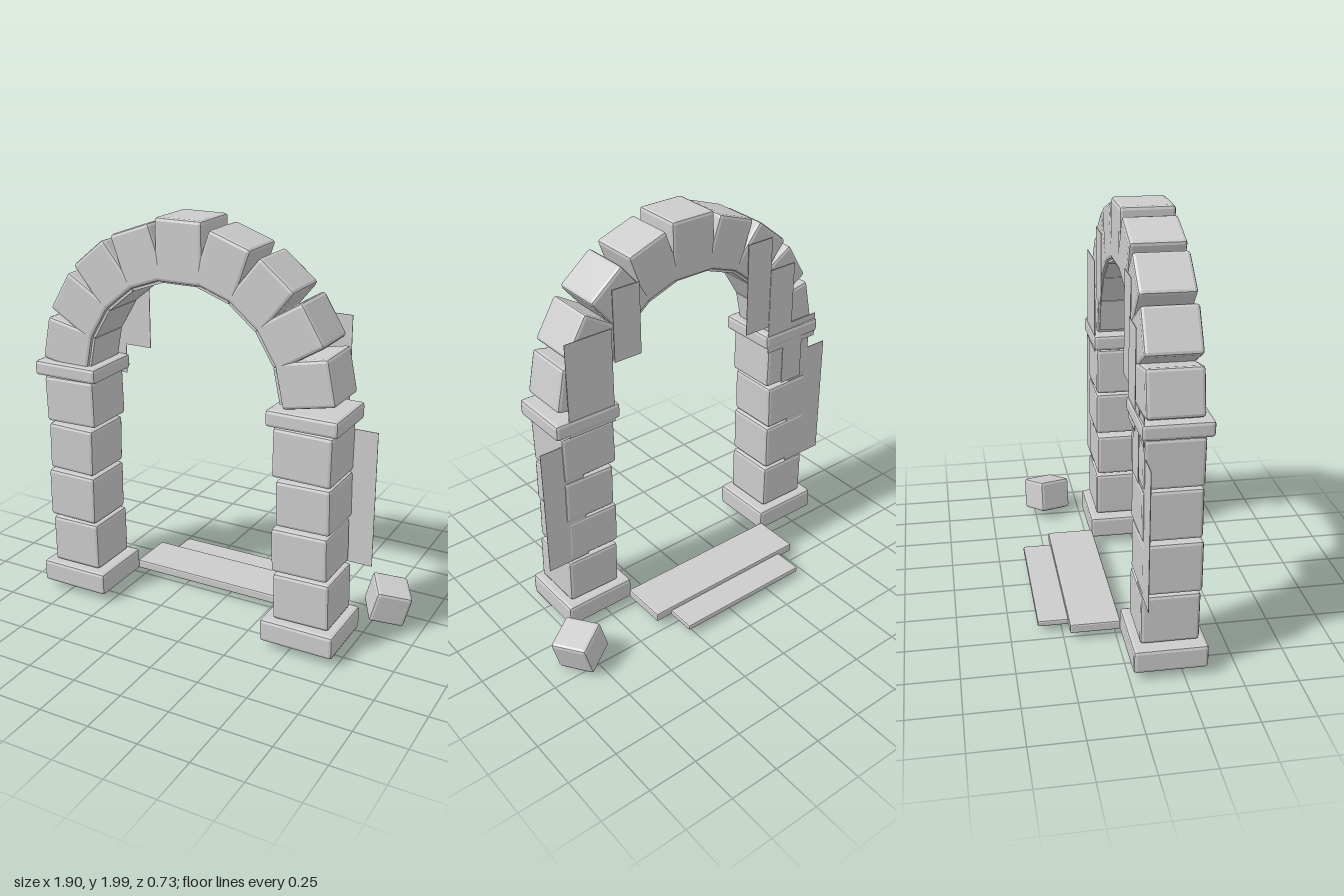
import * as THREE from 'three';
import { RoundedBoxGeometry } from 'three/addons/geometries/RoundedBoxGeometry.js';

const stone = new THREE.MeshStandardMaterial({ color: 0xcccccc });
stone.name = 'pale grey stone';
const sheet = stone; // thin panels share the stone colour

// Stone block with narrow flat chamfers
function block(name, w, h, d, x, y, z, tilt = 0, bevel = 0.016) {
  const geo = new RoundedBoxGeometry(w, h, d, 1, bevel);
  geo.computeVertexNormals();
  const mesh = new THREE.Mesh(geo, stone);
  mesh.name = name;
  mesh.position.set(x, y, z);
  mesh.rotation.z = tilt;
  return mesh;
}

// Block given by its extents
function span(name, [x0, x1], [y0, y1], [z0, z1], tilt = 0, bevel = 0.016) {
  return block(name, x1 - x0, y1 - y0, z1 - z0,
    (x0 + x1) / 2, (y0 + y1) / 2, (z0 + z1) / 2, tilt, bevel);
}

// Pillar: plinth, stacked blocks and capital
function pillar(name, base, stones, capX, capY) {
  const g = new THREE.Group();
  g.name = name;
  g.add(span('plinth', base, [0.045, 0.16], [0.015, 0.36]));
  stones.forEach(([x0, x1, y0, y1, tilt, dz]) =>
    g.add(span('pillarBlock', [x0, x1], [y0, y1], [0.053 + dz, 0.325 + dz], tilt)));
  g.add(span('capital', capX, capY, [0.035, 0.352]));
  return g;
}

export function createModel() {
  const model = new THREE.Group();
  model.name = 'stoneArchway';

  model.add(pillar('rightPillar', [-0.89, -0.52], [
    [-0.84, -0.57, 0.165, 0.41, 0.008, 0],
    [-0.85, -0.578, 0.42, 0.67, -0.012, 0.004],
    [-0.838, -0.58, 0.68, 0.92, -0.02, 0],
    [-0.845, -0.56, 0.935, 1.17, 0.02, 0],
  ], [-0.88, -0.53], [1.175, 1.25]));

  model.add(pillar('leftPillar', [0.362, 0.735], [
    [0.413, 0.697, 0.165, 0.40, 0.018, 0],
    [0.402, 0.683, 0.413, 0.633, 0.02, 0.005],
    [0.417, 0.688, 0.645, 0.87, 0.015, 0],
    [0.397, 0.688, 0.88, 1.12, -0.015, 0],
  ], [0.372, 0.722], [1.13, 1.21]));

  // Arch ring: a keystone with four wedge stones on each side
  const arch = new THREE.Group();
  arch.name = 'arch';
  arch.position.set(-0.08, 1.21, 0.187);
  for (let i = -4; i <= 4; i++) {
    const a = i * THREE.MathUtils.degToRad(19.6);
    const key = i === 0;
    const r = key ? 0.645 : 0.638;
    arch.add(block(key ? 'keystone' : 'archStone', key ? 0.24 : 0.217, key ? 0.29 : 0.26, 0.256,
      Math.sin(a) * r, Math.cos(a) * r, 0, -a));
  }
  // Thin facets lining the underside of the arch
  for (let i = -4; i <= 4; i++) {
    const a = i * THREE.MathUtils.degToRad(19.6);
    const lining = new THREE.Mesh(new THREE.BoxGeometry(0.168, 0.012, 0.23), stone);
    lining.name = 'archLining';
    lining.position.set(Math.sin(a) * 0.502, Math.cos(a) * 0.502, 0);
    lining.rotation.z = -a;
    arch.add(lining);
  }
  model.add(arch);

  // Two low steps behind the opening
  model.add(span('upperStep', [-0.53, 0.375], [0.045, 0.092], [-0.015, 0.02].map((v, i) => (i ? v : -0.222)), 0, 0.008));
  model.add(span('lowerStep', [-0.443, 0.285], [0.04, 0.07], [-0.367, -0.2], 0, 0.008));

  // Fallen block beside the pillar
  const fallen = block('fallenBlock', 0.18, 0.17, 0.19, 0.807, 0.117, -0.18);
  fallen.rotation.set(0, 0.51, -0.26, 'ZYX');
  model.add(fallen);

  // Thin upright panels at the back: x0, x1, y0, y1, z
  [
    [-0.96, -0.72, 0.41, 1.08, 0.062],
    [0.58, 0.80, 0.41, 1.08, 0.062],
    [-0.55, -0.40, 1.30, 1.78, 0.048],
    [0.237, 0.385, 1.42, 1.78, 0.048],
    [-0.70, -0.545, 1.15, 1.61, 0.043],
    [0.40, 0.648, 1.12, 1.60, 0.043],
    [-0.78, -0.65, 0.94, 1.28, 0.045],
    [-0.87, -0.70, 1.15, 1.28, 0.048],
  ].forEach(([x0, x1, y0, y1, z]) => {
    const panel = new THREE.Mesh(new THREE.BoxGeometry(x1 - x0, y1 - y0, 0.003), sheet);
    panel.name = 'backPanel';
    panel.position.set((x0 + x1) / 2, (y0 + y1) / 2, z);
    model.add(panel);
  });

  return model;
}
